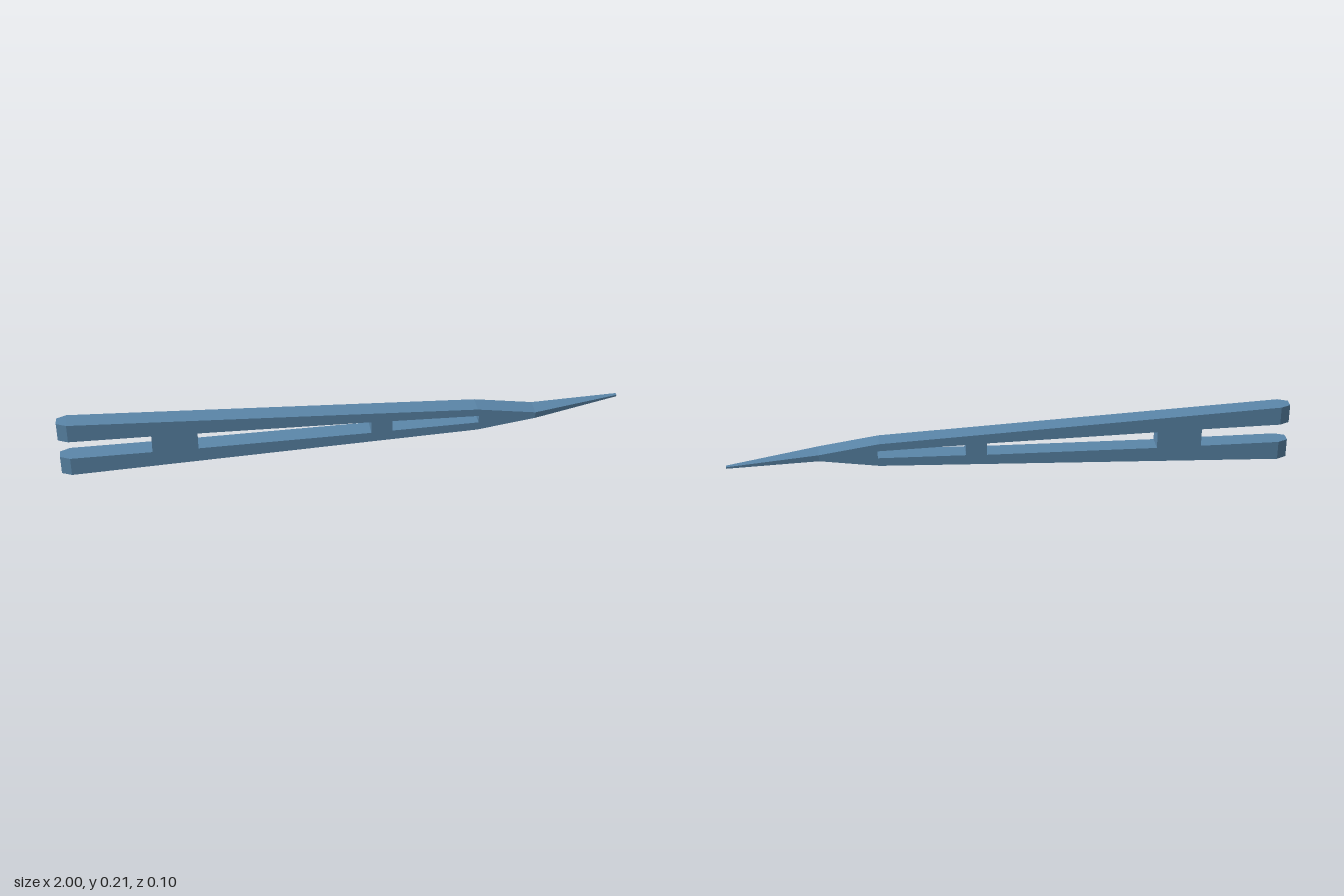
import * as THREE from 'three';

const FRONT = 0.048, BACK = -0.017;

export function createModel() {
  const group = new THREE.Group();
  const material = new THREE.MeshStandardMaterial({ color: 0x5b87aa });

  const add = (name, geometry) => {
    const mesh = new THREE.Mesh(geometry, material);
    mesh.name = name;
    group.add(mesh);
  };

  // Tapered block between two sections: { x, y: [low, high], z: [back, front] }
  const taper = (a, b) => {
    const geo = new THREE.BoxGeometry(1, 1, 1).toNonIndexed();
    const p = geo.attributes.position;
    for (let i = 0; i < p.count; i++) {
      const s = p.getX(i) < 0 ? a : b;
      p.setXYZ(i, s.x, s.y[p.getY(i) > 0 ? 1 : 0], s.z[p.getZ(i) > 0 ? 1 : 0]);
    }
    geo.computeVertexNormals();
    return geo;
  };

  const points = (list) => list.map(([x, y]) => new THREE.Vector2(x, y));

  // Body: two converging arms with an open fork at the rear
  const body = new THREE.Shape(points([
    [-0.965, 0], [0.47, 0.062], [0.68, 0.094], [0.68, 0.118], [0.47, 0.149],
    [-0.965, 0.21], [-0.965, 0.141], [-0.68, 0.139], [-0.68, 0.072], [-0.965, 0.07],
  ]));

  // Two long windows, leaving cross bridges between the arms
  const windows = [
    [[-0.52, 0.073], [-0.52, 0.137], [0.09, 0.129], [0.09, 0.083]],
    [[0.165, 0.086], [0.165, 0.127], [0.475, 0.121], [0.475, 0.093]],
  ];
  for (const w of windows) body.holes.push(new THREE.Path(points(w)));

  const bodyGeo = new THREE.ExtrudeGeometry(body, { depth: FRONT - BACK, bevelEnabled: false });
  bodyGeo.translate(0, 0, BACK);
  add('body', bodyGeo);

  // Chamfered ends of the two arms
  const ends = [['lowerArmEnd', [0, 0.07]], ['upperArmEnd', [0.141, 0.21]]];
  for (const [name, y] of ends) {
    add(name, taper({ x: -1, y, z: [-0.001, 0.032] }, { x: -0.965, y, z: [BACK, FRONT] }));
  }

  // Thin point sweeping towards the back
  add('tip', taper(
    { x: 0.68, y: [0.094, 0.118], z: [BACK, FRONT] },
    { x: 1, y: [0.102, 0.108], z: [-0.048, -0.036] },
  ));

  return group;
}
